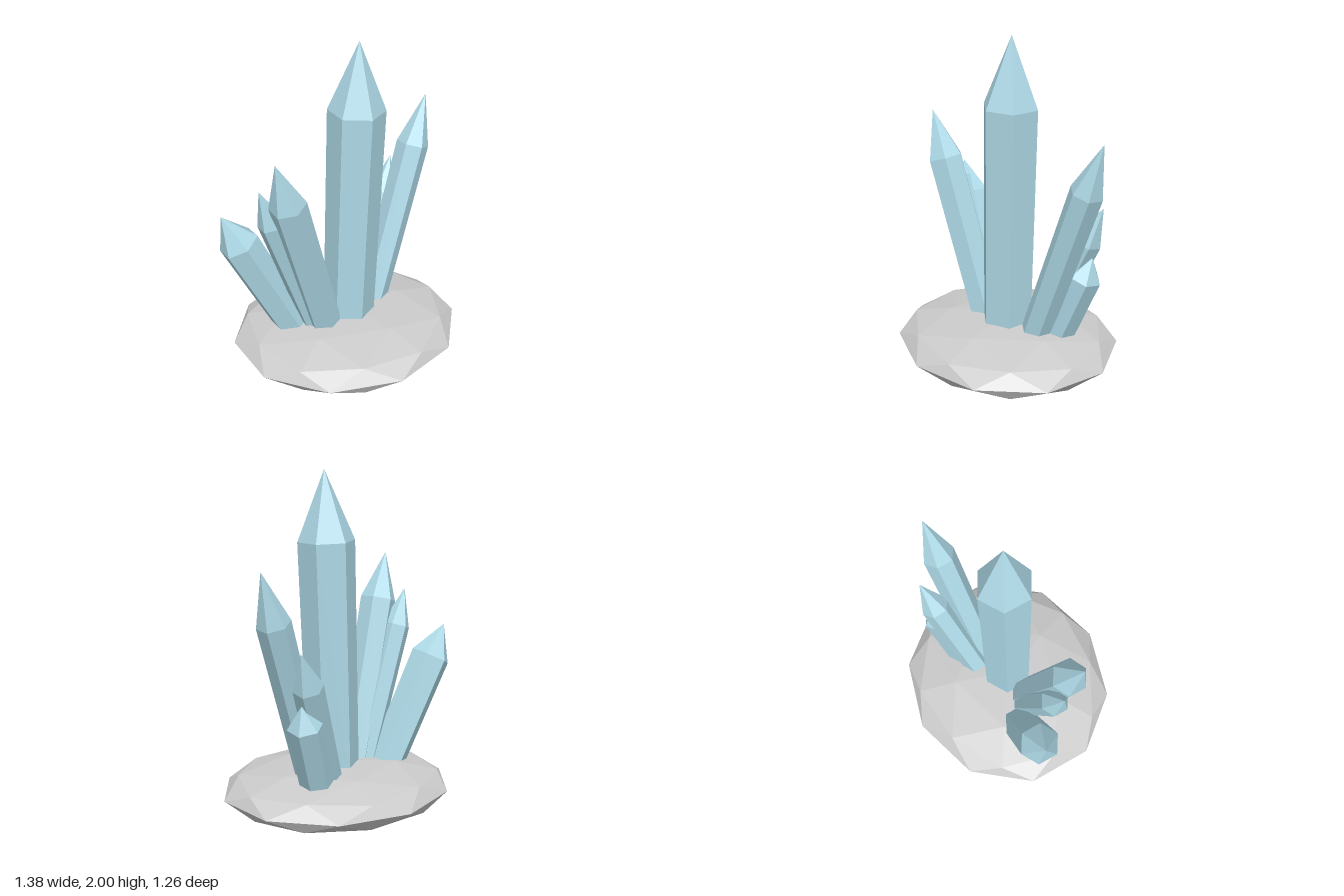
import * as THREE from 'three';

// Hexagonal crystal running along its axis from a root inside the rock to a pointed tip.
function makeCrystal({ name, foot, tip, radius, cap }, material) {
  const end = new THREE.Vector3(...tip);
  const axis = end.clone().sub(new THREE.Vector3(...foot));
  const dir = axis.clone().normalize();
  const sink = 0.11 / dir.y; // continue down into the rock
  const length = axis.length() + sink;

  const profile = [
    [0, 0], [radius * 0.92, 0], [radius, length - cap], [0, length],
  ].map(([r, y]) => new THREE.Vector2(r, y));

  const crystal = new THREE.Mesh(new THREE.LatheGeometry(profile, 6), material);
  crystal.name = name;
  crystal.position.copy(end).addScaledVector(dir, -length);
  crystal.quaternion.setFromUnitVectors(new THREE.Vector3(0, 1, 0), dir);
  return crystal;
}

export function createModel() {
  const group = new THREE.Group();
  group.name = 'crystalCluster';

  const rockMaterial = new THREE.MeshStandardMaterial({ color: 0xcccccc, flatShading: true });
  const crystalMaterial = new THREE.MeshStandardMaterial({ color: 0xadd8e6, flatShading: true });

  // Flattened faceted rock, one vertex pointing straight up
  const rockGeometry = new THREE.IcosahedronGeometry(1, 1);
  rockGeometry.rotateZ(-Math.atan(2 / (1 + Math.sqrt(5))));
  rockGeometry.scale(0.7, 0.154, 0.63);
  rockGeometry.translate(0.025, 0.154, 0);
  const rock = new THREE.Mesh(rockGeometry, rockMaterial);
  rock.name = 'rockBase';
  group.add(rock);

  // foot: axis point at the rock surface, cap: length of the pointed end
  const crystals = [
    { name: 'mainCrystal', foot: [0.04, 0.29, 0.01], tip: [0.095, 2.0, 0.02], radius: 0.165, cap: 0.4 },
    { name: 'rightTallCrystal', foot: [-0.15, 0.29, 0.04], tip: [-0.51, 1.475, 0.165], radius: 0.108, cap: 0.29 },
    { name: 'rightMiddleCrystal', foot: [-0.2, 0.29, 0.0], tip: [-0.545, 1.265, 0.03], radius: 0.085, cap: 0.23 },
    { name: 'rightShortCrystal', foot: [-0.31, 0.28, -0.09], tip: [-0.69, 1.055, -0.165], radius: 0.12, cap: 0.21 },
    { name: 'leftTallCrystal', foot: [0.255, 0.29, -0.05], tip: [0.675, 1.5, -0.163], radius: 0.097, cap: 0.31 },
    { name: 'leftMiddleCrystal', foot: [0.21, 0.29, -0.14], tip: [0.525, 1.07, -0.3], radius: 0.087, cap: 0.23 },
    { name: 'leftShortCrystal', foot: [0.315, 0.28, -0.17], tip: [0.49, 0.77, -0.26], radius: 0.103, cap: 0.13 },
  ];
  for (const spec of crystals) group.add(makeCrystal(spec, crystalMaterial));

  return group;
}
